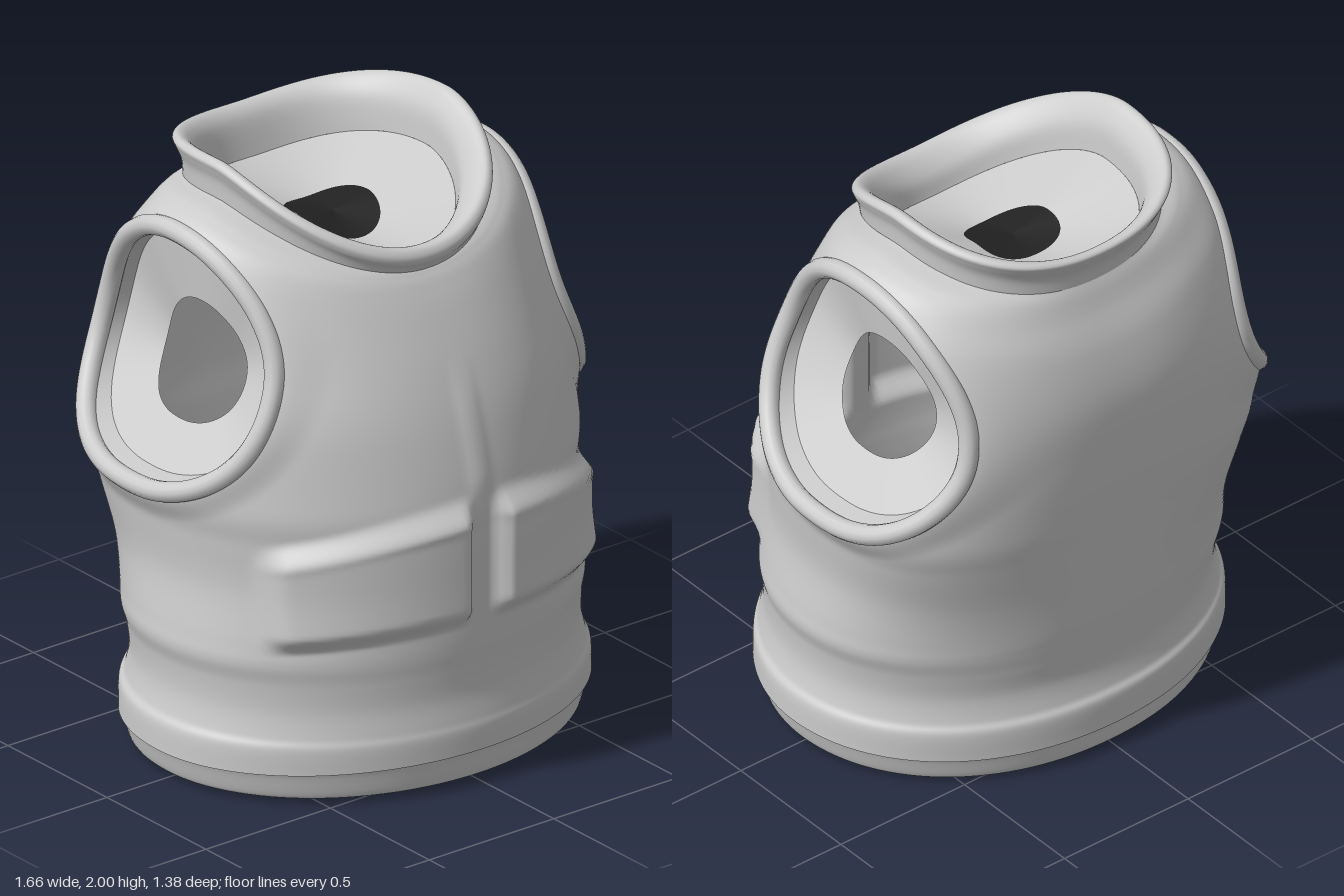
import * as THREE from 'three';
import { mergeVertices } from 'three/addons/utils/BufferGeometryUtils.js';

const ZC = -0.12; // depth of the chest's axis
const material = new THREE.MeshStandardMaterial({ color: 0xcccccc, side: THREE.DoubleSide });
const darkMaterial = new THREE.MeshStandardMaterial({ color: 0x222222, side: THREE.DoubleSide });

// Each ring: height at front, side, back; half width; front z; back z
const level = (y, a, zf, zb) => [y, y, y, a, zf, zb];
const hemTop = [0.115, 0.1, 0.088, 0.793, 0.652, -0.64];
const hemBottom = [0.015, 0.01, 0, 0.745, 0.615, -0.605];
const bodyRings = [
  hemTop, level(0.19, 0.79, 0.652, -0.64), level(0.23, 0.77, 0.645, -0.622),
  level(0.31, 0.755, 0.635, -0.61), level(0.4, 0.76, 0.638, -0.622), level(0.47, 0.777, 0.643, -0.632),
  level(0.54, 0.77, 0.645, -0.642), level(0.7, 0.75, 0.645, -0.655), level(0.86, 0.765, 0.645, -0.668),
  level(0.99, 0.785, 0.64, -0.68), level(1.2, 0.757, 0.59, -0.69),
  [1.38, 1.43, 1.4, 0.685, 0.525, -0.685],
  [1.54, 1.65, 1.57, 0.635, 0.45, -0.645],
  [1.63, 1.8, 1.69, 0.59, 0.4, -0.59],
  [1.665, 1.85, 1.75, 0.53, 0.375, -0.565],
  [1.68, 1.865, 1.78, 0.45, 0.362, -0.55],
];
const collarRings = [
  [1.66, 1.855, 1.77, 0.45, 0.36, -0.55],
  [1.69, 1.92, 1.83, 0.455, 0.375, -0.555],
  [1.71, 1.96, 1.88, 0.468, 0.39, -0.58],
  [1.735, 1.985, 1.905, 0.475, 0.39, -0.59],
  [1.755, 2.0, 1.915, 0.455, 0.37, -0.575],
  [1.745, 1.98, 1.9, 0.425, 0.33, -0.545],
  [1.7, 1.92, 1.86, 0.39, 0.28, -0.52],
  [1.64, 1.82, 1.76, 0.378, 0.255, -0.49],
];
const neckHole = [1.66, 1.73, 1.7, 0.145, 0.03, -0.25];
const neckLiningRings = [collarRings[7], neckHole];
const neckPlugRings = [neckHole, [1.7, 1.7, 1.7, 0.001, -0.119, -0.121]];
const hemRings = [hemBottom, [0.03, 0.025, 0.015, 0.76, 0.628, -0.618], [0.108, 0.094, 0.082, 0.782, 0.642, -0.63], hemTop];
const hemWallRings = [hemBottom, [0.02, 0.015, 0.008, 0.718, 0.588, -0.578], level(0.15, 0.708, 0.578, -0.568)];
const hemLiningRings = [hemWallRings[2], level(0.2, 0.34, 0.27, -0.29)];

const smooth = (t) => THREE.MathUtils.smoothstep(t, 0, 1);

// Point on a ring: oval at the hem, with a boxier back behind the chest
function ringPoint(heights, sizes, theta) {
  const s = Math.sin(theta), c = Math.cos(theta), h = heights.y;
  const zc = ZC * smooth((h - 0.2) / 1.0);
  const n = c > 0
    ? 2 + 0.2 * smooth((h - 1) / 0.4)
    : 2.1 + 0.65 * smooth((h - 0.5) / 0.5) - 0.3 * smooth((h - 1.7) / 0.15);
  const r = 1 / Math.pow(Math.abs(s) ** n + Math.abs(c) ** n, 1 / n);
  const depth = c > 0 ? sizes.y - zc : zc - sizes.z;
  const y = c > 0
    ? h + (heights.x - h) * c ** 1.6
    : h + (heights.z - h) * c * c;
  return new THREE.Vector3(sizes.x * r * s, y, zc + depth * r * c);
}

// Grid of triangles from point(u, v), optionally clipped where keep(p) < 0
function surface(point, nu, nv, keep) {
  const grid = [];
  for (let j = 0; j <= nv; j++) {
    const row = [];
    for (let i = 0; i < nu; i++) row.push(point(i / nu, j / nv));
    row.push(row[0]);
    grid.push(row);
  }
  const out = [];
  const addTriangle = (tri) => {
    let poly = tri;
    if (keep) {
      poly = [];
      tri.forEach((p, i) => {
        const q = tri[(i + 1) % 3], fp = keep(p), fq = keep(q);
        if (fp >= 0) poly.push(p);
        if (fp >= 0 !== fq >= 0) poly.push(p.clone().lerp(q, fp / (fp - fq)));
      });
    }
    for (let i = 2; i < poly.length; i++) {
      for (const p of [poly[0], poly[i - 1], poly[i]]) out.push(p.x, p.y, p.z);
    }
  };
  for (let j = 0; j < nv; j++) {
    for (let i = 0; i < nu; i++) {
      const a = grid[j][i], b = grid[j][i + 1], c = grid[j + 1][i + 1], d = grid[j + 1][i];
      addTriangle([a, b, c]);
      addTriangle([a, c, d]);
    }
  }
  let geometry = new THREE.BufferGeometry();
  geometry.setAttribute('position', new THREE.Float32BufferAttribute(out, 3));
  geometry = mergeVertices(geometry, 1e-5);
  geometry.computeVertexNormals();
  return geometry;
}

// Smooth skin through a list of rings
function loft(rings, nu, nv, shape = (p) => p, keep) {
  const curve = (k) => new THREE.CatmullRomCurve3(
    rings.map((r) => new THREE.Vector3(r[k], r[k + 1], r[k + 2])), false, 'catmullrom', 0.5);
  const heights = curve(0), sizes = curve(3);
  return surface((u, v) => shape(ringPoint(heights.getPoint(v), sizes.getPoint(v), u * Math.PI * 2)), nu, nv, keep);
}

// Armhole outline seen from the side: an egg, wider at the bottom
const ARM = { z: -0.137, y: 1.385 };
function armRadius(phi) {
  const c = Math.cos(phi), s = Math.sin(phi);
  const a = 0.438 * (1 - 0.16 * s), n = 2.15;
  return 1 / Math.pow((Math.abs(c) / a) ** n + (Math.abs(s) / 0.402) ** n, 1 / n);
}
const outsideArm = (p) => {
  const dz = p.z - ARM.z, dy = p.y - ARM.y;
  return Math.hypot(dz, dy) - armRadius(Math.atan2(dy, dz));
};

// Raised pockets with flaps, front placket and a swelling around the armholes
function addRelief(p) {
  const x = Math.abs(p.x), top = 1.0 - 0.3 * x * x;
  let k = 1 + 0.03 * smooth(1 - outsideArm(p) / 0.11);
  if (p.z > 0.1) {
    const pocket = smooth((x - 0.035) / 0.05) * smooth((0.66 - x) / 0.09)
      * smooth((p.y - 0.55 + 0.12 * x * x) / 0.08) * smooth((top - p.y) / 0.09);
    const flap = smooth((p.y - top + 0.11) / 0.03);
    const placket = smooth((0.05 - x) / 0.03) * smooth((p.y - 0.95) / 0.1) * smooth((1.45 - p.y) / 0.2);
    k += pocket * (0.066 + 0.004 * flap) + placket * 0.01;
  }
  p.x *= k;
  p.z = ZC + (p.z - ZC) * k;
  return p;
}

export function createModel() {
  const model = new THREE.Group();
  model.name = 'vest';
  const add = (name, geometry, parent = model, surfaceMaterial = material) => {
    const mesh = new THREE.Mesh(geometry, surfaceMaterial);
    mesh.name = name;
    parent.add(mesh);
  };

  // Torso, hem and collar
  add('body', loft(bodyRings, 256, 165, addRelief, outsideArm));
  add('hem', loft(hemRings, 128, 12));
  add('hemInnerWall', loft(hemWallRings, 128, 8));
  add('hemLining', loft(hemLiningRings, 96, 4));
  add('collar', loft(collarRings, 128, 36));
  add('neckLining', loft(neckLiningRings, 96, 4));
  add('neckPlug', loft(neckPlugRings, 96, 2), model, darkMaterial);

  // Armhole outline projected onto the uncut torso
  const uncut = new THREE.Mesh(loft(bodyRings, 160, 110, addRelief), material);
  const ray = new THREE.Raycaster();
  const outline = [];
  for (let i = 0; i < 64; i++) {
    const phi = (i / 64) * Math.PI * 2, r = armRadius(phi);
    const start = new THREE.Vector3(2, ARM.y + r * Math.sin(phi), ARM.z + r * Math.cos(phi));
    ray.set(start, new THREE.Vector3(-1, 0, 0));
    const hit = ray.intersectObject(uncut)[0];
    outline.push(hit ? hit.point.clone() : start.setX(0.55));
  }
  // The rim is sunk slightly so that it blends into the swelling
  const rimCurve = new THREE.CatmullRomCurve3(outline.map((p) => p.setX(p.x - 0.012)), true);
  const rim = new THREE.TubeGeometry(rimCurve, 128, 0.034, 12, true);

  // Lining: a short wall turning inward, then a funnel to a smaller hole
  const middle = new THREE.Vector3(0.6, 1.37, -0.13);
  const inset = (scale, dx, dy) => (u) => {
    const p = rimCurve.getPoint(u).sub(middle).multiplyScalar(scale).add(middle);
    p.x -= dx;
    p.y -= dy;
    return p;
  };
  const band = (from, to) => surface((u, v) => from(u).lerp(to(u), v), 96, 3);
  const wall = band(inset(0.95, 0.01, 0), inset(0.92, 0.07, 0));
  const funnel = band(inset(0.92, 0.07, 0), inset(0.47, 0.09, 0.04));

  for (const side of [1, -1]) {
    const arm = new THREE.Group();
    arm.name = side > 0 ? 'leftArmhole' : 'rightArmhole';
    arm.scale.x = side;
    add('armholeRim', rim, arm);
    add('armholeWall', wall, arm);
    add('armholeLining', funnel, arm);
    model.add(arm);
  }
  return model;
}
